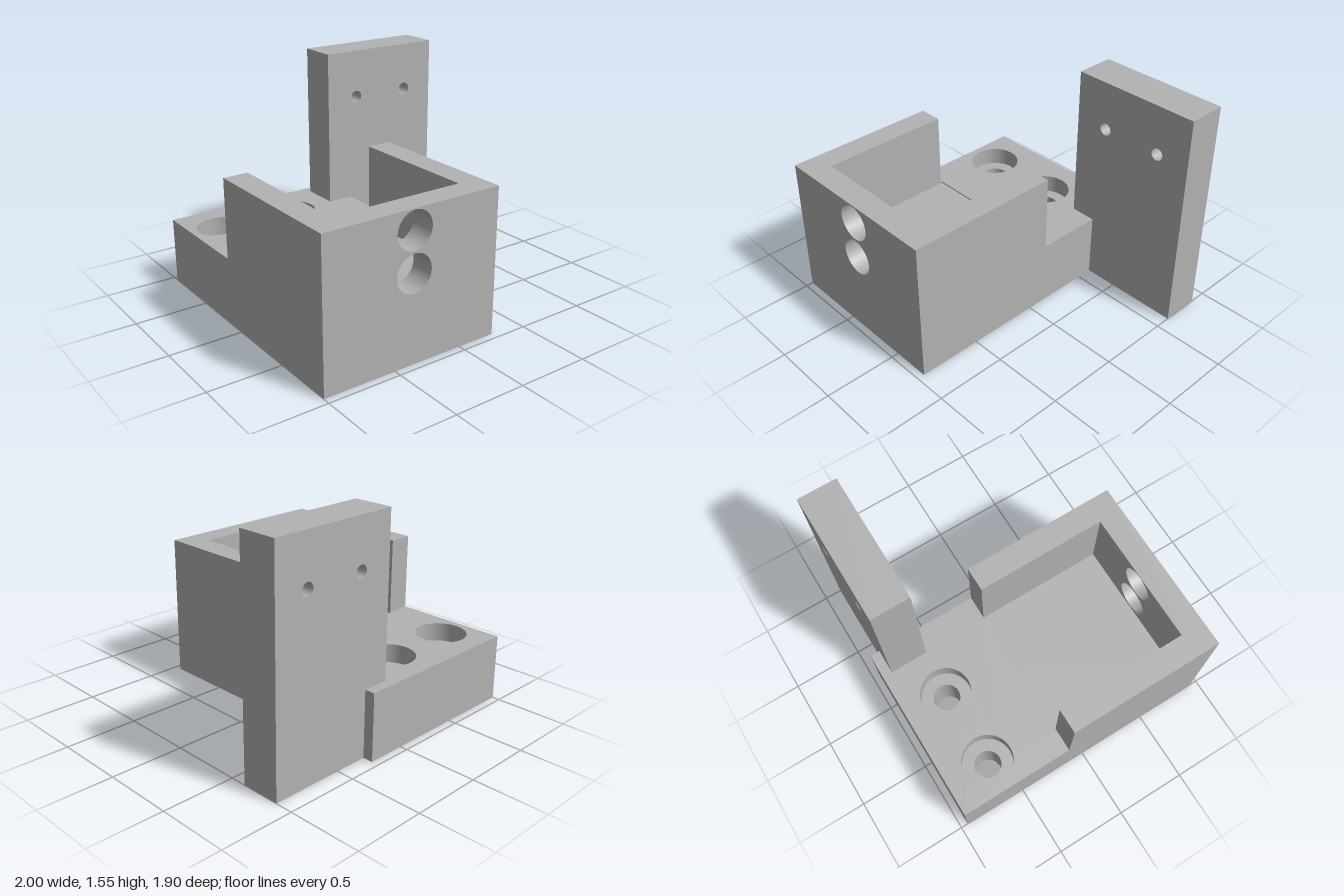
import * as THREE from 'three';
import { toCreasedNormals } from 'three/addons/utils/BufferGeometryUtils.js';

const grey = new THREE.MeshStandardMaterial({ color: 0xb2b2b2 });
grey.name = 'plain grey';

const polygon = (points) => new THREE.Shape(points.map(([x, y]) => new THREE.Vector2(x, y)));

const rectangle = (x0, y0, x1, y1) => polygon([[x0, y0], [x1, y0], [x1, y1], [x0, y1]]);

// Cut round holes, given as [x, y, radius]
function drill(shape, holes) {
  for (const [x, y, r] of holes) {
    shape.holes.push(new THREE.Path().absarc(x, y, r, 0, Math.PI * 2, true));
  }
  return shape;
}

function extrude(shape, depth) {
  return new THREE.ExtrudeGeometry(shape, { depth, bevelEnabled: false, curveSegments: 48 });
}

function part(name, geometry) {
  const mesh = new THREE.Mesh(toCreasedNormals(geometry, 0.5), grey);
  mesh.name = name;
  return mesh;
}

// Horizontal slab: plan drawn as (x, -z), from height y0 to y1
function slab(name, shape, y0, y1) {
  return part(name, extrude(shape, y1 - y0).rotateX(-Math.PI / 2).translate(0, y0, 0));
}

// Upright panel drawn as (x, y), from z0 to z1
function panel(name, shape, z0, z1) {
  return part(name, extrude(shape, z1 - z0).translate(0, 0, z0));
}

export function createModel() {
  const model = new THREE.Group();
  model.name = 'mountingBracket';

  const left = 0.27, right = -1, front = 0.95, back = -0.95;
  const pocket = { x0: -0.83, x1: 0.1, z0: -0.15, z1: 0.78 };
  const footprint = () => rectangle(right, -front, left, -back);
  const bolts = (r) => [-0.775, -0.23].map((x) => [x, 0.64, r]);

  // Base with stepped bolt holes
  const base = new THREE.Group();
  base.name = 'base';
  base.add(slab('baseLower', drill(footprint(), bolts(0.092)), 0, 0.33));
  base.add(slab('baseUpper', drill(footprint(), bolts(0.175)), 0.33, 0.45));

  // Thin top layer around the shallow pocket floor
  const rim = drill(footprint(), bolts(0.175));
  rim.holes.push(rectangle(pocket.x0, -pocket.z1, pocket.x1, -pocket.z0));
  base.add(slab('baseTop', rim, 0.45, 0.46));
  model.add(base);

  // Front wall with two stacked round openings
  const wall = drill(rectangle(right, 0.46, left, 1), [[-0.365, 0.865, 0.127], [-0.365, 0.595, 0.127]]);
  model.add(panel('frontWall', wall, pocket.z1, front));

  // Side walls, leaving the back of the pocket open
  for (const [name, x0, x1] of [['rightWall', right, pocket.x0], ['leftWall', pocket.x1, left]]) {
    model.add(panel(name, rectangle(x0, 0.46, x1, 1), -0.14, pocket.z1));
  }

  // Tall plate, notched to sit over the base
  const plate = polygon([[left, 0], [1, 0], [1, 1.55], [0.09, 1.55], [0.09, 0.46], [left, 0.46]]);
  drill(plate, [[0.33, 1.215, 0.043], [0.76, 1.215, 0.043]]);
  model.add(panel('uprightPlate', plate, -0.88, -0.61));

  return model;
}
